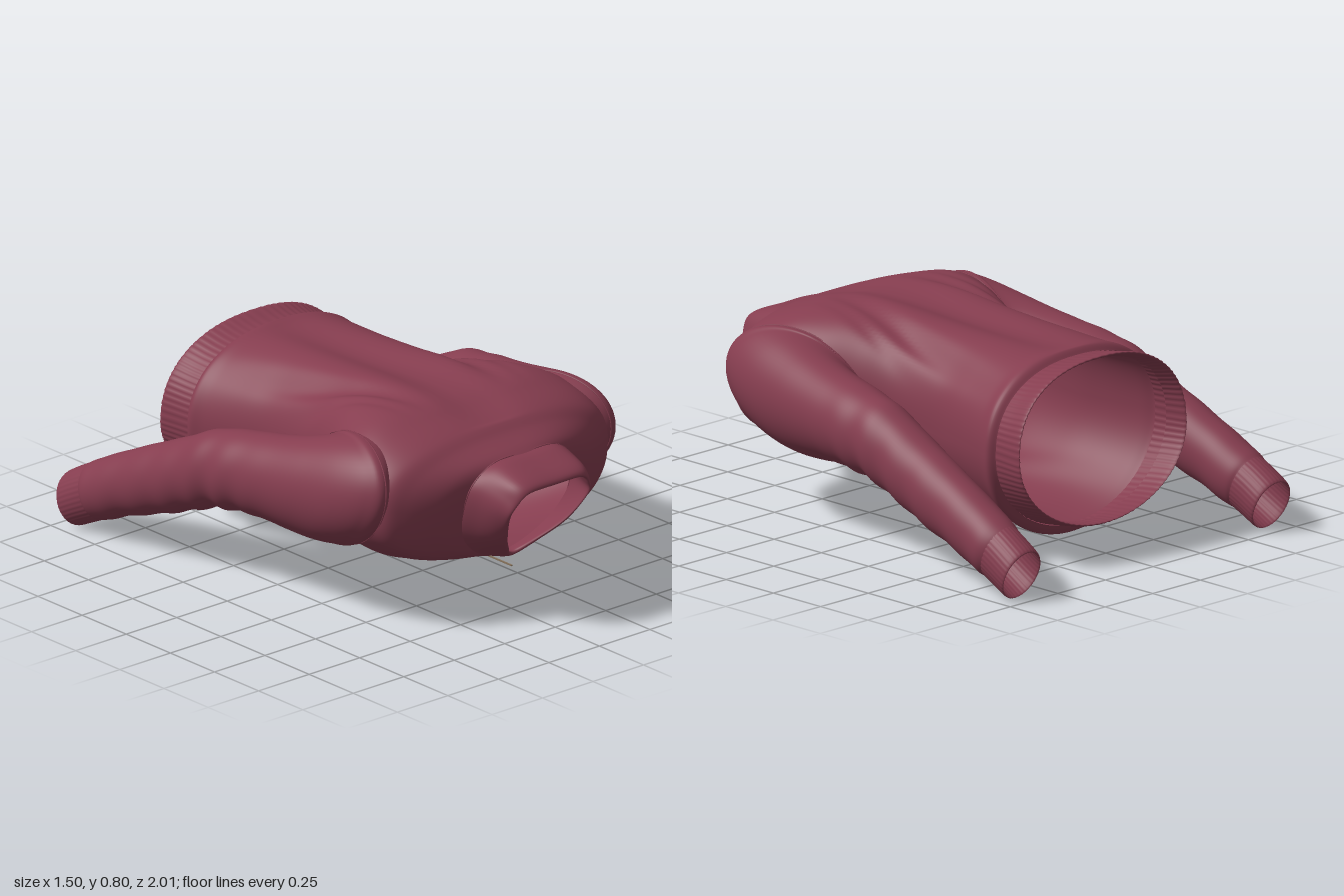
import * as THREE from 'three';

const cloth = new THREE.MeshStandardMaterial({ color: 0x853d4f, side: THREE.DoubleSide });
cloth.name = 'burgundy cloth';
const brass = new THREE.MeshStandardMaterial({ color: 0xb0a080 });
brass.name = 'zipper brass';
const cord = new THREE.MeshStandardMaterial({ color: 0x84705a });
cord.name = 'zipper cord';

const clamp = THREE.MathUtils.clamp;
const bump = (d, w) => Math.exp(-(d * d) / (w * w));

// Smooth interpolation through rows of numbers, u from 0 to 1
function sample(rows, u) {
  const f = u * (rows.length - 1);
  const i = Math.min(Math.floor(f), rows.length - 2);
  const k = f - i;
  const at = (n) => rows[clamp(n, 0, rows.length - 1)];
  return rows[i].map((p1, c) => {
    const p0 = at(i - 1)[c], p2 = at(i + 1)[c], p3 = at(i + 2)[c];
    return p1 + 0.5 * k * (p2 - p0 + k * (2 * p0 - 5 * p1 + 4 * p2 - p3 + k * (3 * (p1 - p2) + p3 - p0)));
  });
}

// Skin of closed rings: point(u, t) with t running once around
function loft(name, point, nu, nt) {
  const pos = [], idx = [];
  for (let i = 0; i <= nu; i++) {
    for (let j = 0; j < nt; j++) pos.push(...point(i / nu, (j / nt) * Math.PI * 2));
  }
  for (let i = 0; i < nu; i++) {
    for (let j = 0; j < nt; j++) {
      const k = (j + 1) % nt;
      const a = i * nt + j, b = i * nt + k, c = a + nt, d = b + nt;
      idx.push(a, b, c, b, d, c);
    }
  }
  const g = new THREE.BufferGeometry();
  g.setAttribute('position', new THREE.Float32BufferAttribute(pos, 3));
  g.setIndex(idx);
  g.computeVertexNormals();
  const m = new THREE.Mesh(g, cloth);
  m.name = name;
  return m;
}

// Thin raised seam along a closed ring of points
function seam(name, points) {
  const curve = new THREE.CatmullRomCurve3(points.map((p) => new THREE.Vector3(...p)), true);
  const m = new THREE.Mesh(new THREE.TubeGeometry(curve, 96, 0.003, 6, true), cloth);
  m.name = name;
  return m;
}

// Torso sections: z, tilt, half width, top, bottom, widest height, squareness of back and chest
const TORSO = [
  [-0.595, 0, 0.425, 0.738, 0.085, 0.43, 2.3, 2],
  [-0.565, 0, 0.447, 0.763, 0.045, 0.43, 2.3, 2],
  [-0.5, 0, 0.427, 0.768, 0.055, 0.43, 2.3, 2],
  [-0.35, 0, 0.395, 0.778, 0.08, 0.43, 2.4, 2],
  [-0.2, 0, 0.375, 0.786, 0.093, 0.43, 2.5, 2],
  [0, 0, 0.385, 0.796, 0.105, 0.44, 2.6, 2],
  [0.15, 0, 0.43, 0.804, 0.107, 0.46, 2.8, 2],
  [0.3, 0, 0.5, 0.806, 0.12, 0.48, 3.1, 2.1],
  [0.45, 0, 0.55, 0.795, 0.155, 0.5, 3.4, 2.3],
  [0.57, 0, 0.57, 0.764, 0.195, 0.5, 3.2, 2.4],
  [0.66, 0.05, 0.555, 0.732, 0.213, 0.49, 2.8, 2.4],
  [0.71, 0.1, 0.49, 0.697, 0.217, 0.48, 2.5, 2.3],
  [0.755, 0.2, 0.38, 0.668, 0.218, 0.46, 2.3, 2.1],
  [0.78, 0.25, 0.265, 0.648, 0.215, 0.45, 2.3, 2],
];
const HEM = [
  [-0.585, 0, 0.422, 0.735, 0.088, 0.43, 2.3, 2],
  [-0.65, 0.025, 0.43, 0.742, 0.1, 0.43, 2.3, 2],
  [-0.725, 0.056, 0.44, 0.757, 0.115, 0.43, 2.3, 2],
  [-0.728, 0.056, 0.432, 0.748, 0.124, 0.43, 2.3, 2],
  [-0.65, 0.025, 0.415, 0.725, 0.115, 0.43, 2.3, 2],
];
function bodyRing([z, tilt, w, top, bot, mid, nTop, nBot], t) {
  const c = Math.cos(t), s = Math.sin(t), e = 2 / (s > 0 ? nTop : nBot);
  const x = w * Math.sign(c) * Math.abs(c) ** e;
  const y = mid + (s > 0 ? top - mid : mid - bot) * Math.sign(s) * Math.abs(s) ** e;
  return [x, y, z + tilt * (y - mid)];
}
function torsoPoint(u, t) {
  const p = bodyRing(sample(TORSO, u), t);
  const [x, y, z] = p, ax = Math.abs(x), s = Math.sin(t);
  // Spine dip and diagonal drape folds on the back, soft pulls on the chest
  const win = Math.sin(Math.PI * clamp((z + 0.57) / 1.1, 0, 1));
  const spine = Math.sqrt(Math.max(0, Math.sin(Math.PI * clamp((z + 0.57) / 1.25, 0, 1))));
  const c = 0.27 - 0.15 * z;
  if (s > 0) {
    const folds = 0.04 * bump(ax - c, 0.045) + 0.018 * bump(ax - c - 0.085, 0.025);
    p[1] = y - s * (win * folds + spine * 0.042 * bump(x, 0.11));
  } else {
    p[1] = y - s * win * 0.012 * bump(ax - 0.2 + 0.25 * z, 0.05);
  }
  return p;
}

// Sleeve sections: inner x, z, outer x, z, top, bottom, lean
const SLEEVE = [
  [0.27, 0.17, 0.43, 0.6, 0.7, 0.33, 0.06],
  [0.41, 0.1, 0.56, 0.67, 0.73, 0.28, 0.075],
  [0.41, 0.08, 0.62, 0.61, 0.72, 0.275, 0.09],
  [0.415, 0.07, 0.665, 0.48, 0.7, 0.28, 0.08],
  [0.42, 0.05, 0.69, 0.3, 0.672, 0.29, 0.06],
  [0.425, 0.02, 0.705, 0.13, 0.645, 0.3, 0.03],
  [0.44, -0.06, 0.72, -0.04, 0.62, 0.3, 0],
  [0.475, -0.2, 0.73, -0.2, 0.585, 0.285, -0.02],
  [0.49, -0.35, 0.735, -0.35, 0.51, 0.235, -0.03],
  [0.51, -0.5, 0.74, -0.5, 0.44, 0.18, -0.035],
  [0.53, -0.68, 0.746, -0.68, 0.355, 0.12, -0.035],
  [0.542, -0.81, 0.752, -0.81, 0.288, 0.066, -0.035],
  [0.555, -0.85, 0.743, -0.85, 0.264, 0.056, -0.035],
];
const CUFF = [
  [0.555, -0.84, 0.744, -0.84, 0.268, 0.058, -0.035],
  [0.558, -0.9, 0.748, -0.9, 0.236, 0.03, -0.035],
  [0.56, -0.958, 0.75, -0.958, 0.2, 0.002, -0.035],
  [0.568, -0.955, 0.742, -0.955, 0.192, 0.01, -0.034],
  [0.568, -0.86, 0.732, -0.86, 0.246, 0.064, -0.034],
];
function sleeveRing([xi, zi, xo, zo, top, bot, lean], t, side, r = 1) {
  const c = Math.cos(t) * r, s = Math.sin(t) * r;
  return [
    side * ((xi + xo) / 2 + (c * (xo - xi)) / 2),
    (top + bot) / 2 + (s * (top - bot)) / 2,
    (zi + zo) / 2 + (c * (zo - zi)) / 2 + s * lean,
  ];
}
function sleevePoint(u, t, side) {
  // Bunched wrinkles at the elbow and along the forearm
  const w = 0.04 * bump(u - 0.56, 0.08) + 0.024 * bump(u - 0.77, 0.15);
  const r = 1 + w * Math.sin(u * 75 + 1.6 * Math.sin(t + 0.6) + side) * (0.6 + 0.4 * Math.cos(t + 1));
  return sleeveRing(sample(SLEEVE, u), t, side, r);
}

// Half outlines of the collar rings, from the nape to the zipper
const COLLAR = [
  [[0, 0.648, 0.82], [0.15, 0.643, 0.82], [0.24, 0.58, 0.81], [0.265, 0.48, 0.785], [0.245, 0.35, 0.75], [0.15, 0.25, 0.72], [0, 0.21, 0.7]],
  [[0, 0.645, 0.87], [0.15, 0.638, 0.87], [0.222, 0.575, 0.86], [0.24, 0.48, 0.84], [0.215, 0.345, 0.79], [0.13, 0.255, 0.74], [0, 0.205, 0.72]],
  [[0, 0.615, 0.96], [0.148, 0.61, 0.96], [0.2, 0.555, 0.945], [0.215, 0.48, 0.92], [0.18, 0.355, 0.86], [0.1, 0.27, 0.79], [0, 0.21, 0.745]],
  [[0, 0.59, 1], [0.135, 0.586, 1], [0.185, 0.535, 0.985], [0.2, 0.475, 0.96], [0.155, 0.365, 0.895], [0.08, 0.28, 0.82], [0, 0.22, 0.76]],
  [[0, 0.572, 0.99], [0.13, 0.569, 0.99], [0.175, 0.53, 0.975], [0.19, 0.475, 0.95], [0.147, 0.37, 0.885], [0.075, 0.288, 0.81], [0, 0.232, 0.752]],
  [[0, 0.6, 0.87], [0.135, 0.595, 0.87], [0.2, 0.55, 0.86], [0.217, 0.475, 0.835], [0.19, 0.36, 0.78], [0.11, 0.275, 0.74], [0, 0.228, 0.715]],
];
const wholeRing = (half) => [...half, ...half.slice(1, -1).reverse().map(([x, y, z]) => [-x, y, z])];
function collarPoint(u, t) {
  const ring = COLLAR.map((half) => wholeRing(half).flat());
  const flat = sample(ring, u);
  const n = flat.length / 3, f = (1 - t / (Math.PI * 2)) * n, i = Math.floor(f);
  const four = [-1, 0, 1, 2].map((k) => {
    const j = (i + k + n) % n;
    return flat.slice(j * 3, j * 3 + 3);
  });
  return sample(four, (1 + f - i) / 3);
}

export function createModel() {
  const model = new THREE.Group();
  model.name = 'sweatshirt';

  model.add(loft('torso', torsoPoint, 90, 144));

  // Ribbed hem band, folded inward at the rim
  model.add(loft('hemBand', (u, t) => {
    const [x, y, z] = bodyRing(sample(HEM, u), -t);
    const r = 1 + 0.003 * Math.sin(90 * t);
    return [x * r, 0.43 + (y - 0.43) * r, z];
  }, 16, 360));

  // Sleeves with armhole seams and ribbed cuffs
  for (const side of [1, -1]) {
    const name = side > 0 ? 'left' : 'right';
    model.add(loft(name + 'Sleeve', (u, t) => sleevePoint(u, -t * side, side), 110, 64));
    model.add(loft(name + 'Cuff', (u, t) =>
      sleeveRing(sample(CUFF, u), -t * side, side, 1 + 0.006 * Math.sin(36 * t)), 14, 144));
    const ring = [];
    for (let i = 0; i < 24; i++) ring.push(sleeveRing(SLEEVE[1], (i / 24) * Math.PI * 2, side));
    model.add(seam(name + 'ArmholeSeam', ring));
  }

  // Stand-up collar open down to the zipper
  model.add(loft('collar', collarPoint, 30, 96));
  model.add(seam('collarSeam', wholeRing(COLLAR[0])));

  // Zipper: thin cord and hanging pull
  const box = (name, mat, w, h, d, y, z, rx = 0) => {
    const m = new THREE.Mesh(new THREE.BoxGeometry(w, h, d), mat);
    m.position.set(0, y, z);
    m.rotation.x = rx;
    m.name = name;
    model.add(m);
  };
  box('zipperCord', cord, 0.006, 0.005, 0.22, 0.173, 0.645);
  box('zipperPull', brass, 0.024, 0.009, 0.075, 0.158, 0.532, -0.08);
  box('zipperPullTip', brass, 0.024, 0.016, 0.008, 0.149, 0.495);
  return model;
}
